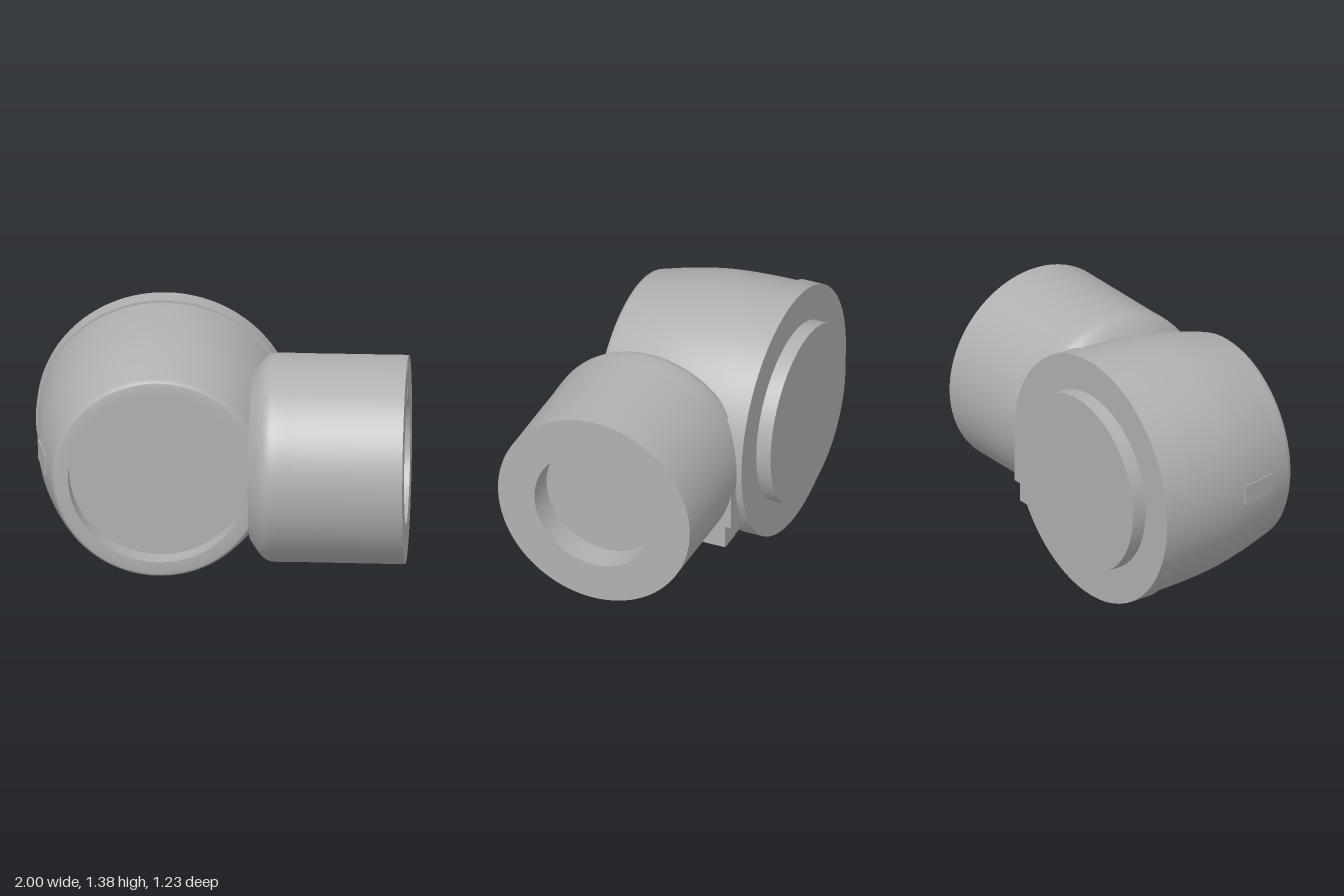
import * as THREE from 'three';
import { toCreasedNormals } from 'three/addons/utils/BufferGeometryUtils.js';

const CX = -0.31, CY = 0.695, CZ = 0.055;

export function createModel() {
  const group = new THREE.Group();
  const grey = new THREE.MeshStandardMaterial({ color: 0xb0b0b0 });
  grey.name = 'plain grey';

  const add = (name, geometry, x, y, z) => {
    const mesh = new THREE.Mesh(geometry, grey);
    mesh.name = name;
    mesh.position.set(x, y, z);
    group.add(mesh);
    return mesh;
  };
  const box = (name, min, max) => add(name,
    new THREE.BoxGeometry(max[0] - min[0], max[1] - min[1], max[2] - min[2]),
    (min[0] + max[0]) / 2, (min[1] + max[1]) / 2, (min[2] + max[2]) / 2);
  // Turned solid from [radius, position along axis] pairs
  const turned = (profile) => toCreasedNormals(
    new THREE.LatheGeometry(profile.map(([r, t]) => new THREE.Vector2(r, t)), 128), 0.5);

  // Tapered body: back spigot, flange, curved wall, rounded rim and shallow socket
  const wall = new THREE.SplineCurve([
    [0.677, -0.42], [0.676, -0.3], [0.667, -0.13], [0.65, 0.02], [0.615, 0.19], [0.57, 0.355],
  ].map((p) => new THREE.Vector2(...p))).getPoints(24).map((p) => [p.x, p.y]);
  const body = turned([
    [0, -0.613], [0.495, -0.613], [0.495, -0.53], [0.69, -0.53], [0.69, -0.42],
    ...wall,
    [0.564, 0.371], [0.554, 0.381], [0.54, 0.385],
    [0.48, 0.385], [0.48, 0.275], [0, 0.275],
  ]);
  body.rotateX(Math.PI / 2);
  add('body', body, CX, CY, 0);

  // Side branch: flared neck, straight barrel and blind bore
  const neck = new THREE.SplineCurve([
    [0.44, 0.172], [0.475, 0.195], [0.515, 0.225], [0.545, 0.26], [0.557, 0.31], [0.556, 0.43],
  ].map((p) => new THREE.Vector2(...p))).getPoints(20).map((p) => [p.x, p.y]);
  const branch = turned([
    [0, 0.172], ...neck, [0.557, 1], [0.345, 1], [0.345, 0.84], [0, 0.84],
  ]);
  branch.rotateZ(-Math.PI / 2);
  add('sideBranch', branch, 0, CY, CZ);

  // Stop blocks in the gap between the flange and the barrel
  box('lowerStop', [0.22, 0.25, -0.455], [0.43, 0.5, -0.2]);
  box('lowerStopFoot', [0.26, 0.22, -0.44], [0.38, 0.26, -0.28]);
  box('rearStop', [0.3, 0.38, -0.49], [0.43, 0.7, -0.3]);

  // Small pad on the outer wall, following the taper
  const pad = add('sidePad', new THREE.BoxGeometry(0.02, 0.11, 0.22), -0.934, CY, 0.115);
  pad.rotation.y = 0.21;

  // Alignment ticks on the branch end
  box('innerTick', [0.998, 1.04, CZ - 0.005], [1.001, 1.11, CZ + 0.005]);
  box('outerTick', [0.998, 1.21, CZ - 0.005], [1.001, 1.25, CZ + 0.005]);

  return group;
}
